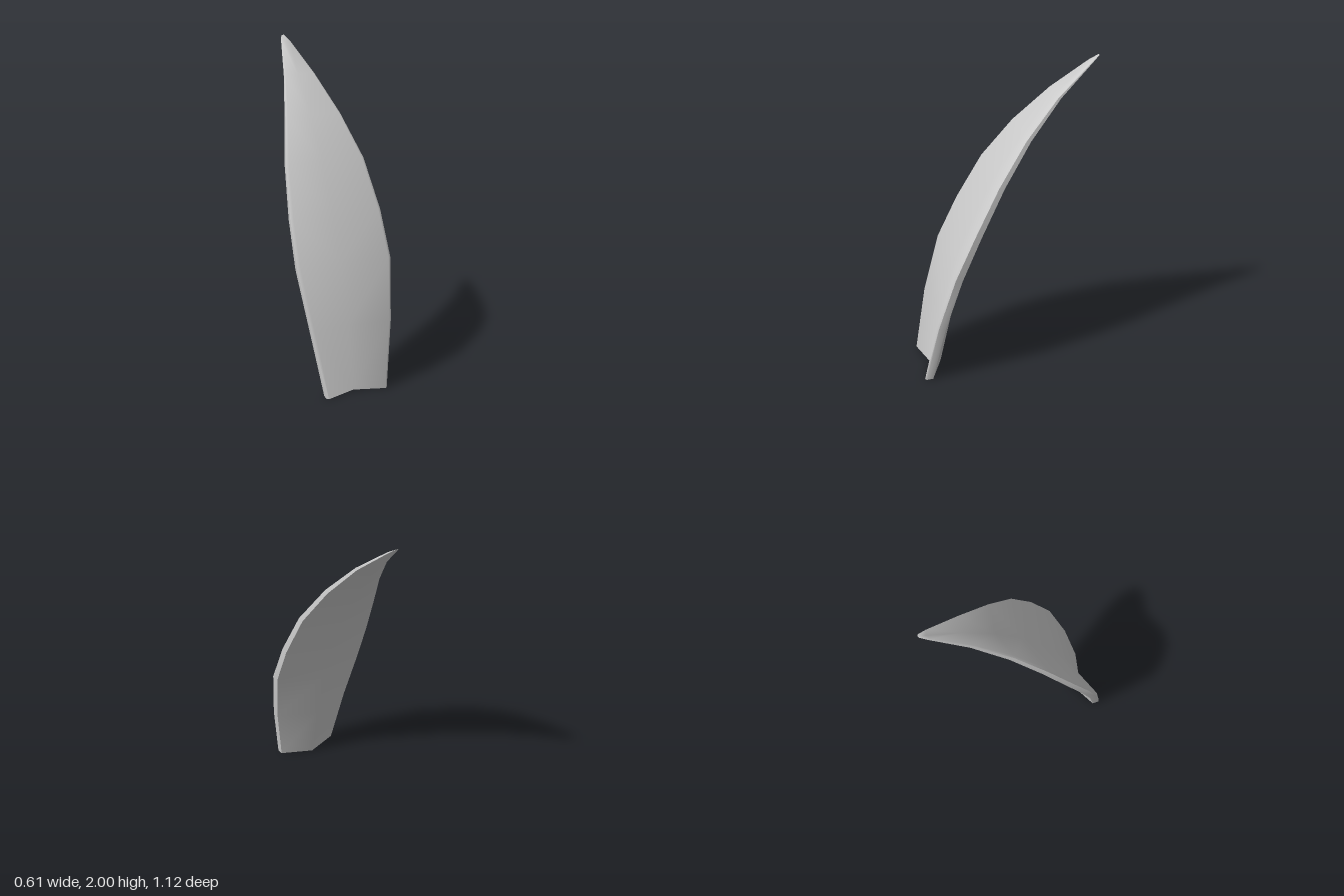
import * as THREE from 'three';
import { toCreasedNormals } from 'three/addons/utils/BufferGeometryUtils.js';

// Rows up the blade: height, half width, z of front rim, z of back ridge
const ROWS = [
  [0, 0.2, 0.56, 0.43],
  [0.4, 0.26, 0.485, 0.345],
  [0.76, 0.305, 0.38, 0.24],
  [1.03, 0.295, 0.255, 0.13],
  [1.32, 0.255, 0.1, -0.01],
  [1.57, 0.18, -0.08, -0.17],
  [1.79, 0.1, -0.29, -0.345],
  [1.965, 0.03, -0.505, -0.53],
  [2, 0.01, -0.558, -0.562],
];

// Half of the shallow V section: share of half width, share of depth behind the rim
const HALF = [[0, 0.46], [0.94, 0], [1, 0.08], [0.98, 0.39], [0, 1]];
const SECTION = [...HALF, ...HALF.slice(1, -1).reverse().map(([x, d]) => [-x, d])];

function bladeGeometry() {
  const positions = [];
  const index = [];
  const n = SECTION.length;
  ROWS.forEach(([y, w, zFront, zBack], r) => {
    const depth = zFront - zBack;
    const tilt = r === 0 || r === ROWS.length - 1 ? 0 : 0.2;
    // The chamfer and bevel keep the rim crisp, the back leans slightly down
    for (const [x, d] of SECTION) positions.push(x * w, y - tilt * d * depth, zFront - d * depth);
    if (r === 0) return;
    for (let i = 0; i < n; i++) {
      const j = (i + 1) % n;
      const a = (r - 1) * n + i;
      const b = (r - 1) * n + j;
      const c = r * n + j;
      const e = r * n + i;
      // Mirror the diagonals so both halves match
      if (i < n / 2) index.push(a, b, c, a, c, e);
      else index.push(a, b, e, b, c, e);
    }
  });
  // Close the tiny tip
  const top = (ROWS.length - 1) * n;
  for (let i = 1; i < n - 1; i++) index.push(top, top + i, top + i + 1);

  const geometry = new THREE.BufferGeometry();
  geometry.setAttribute('position', new THREE.Float32BufferAttribute(positions, 3));
  geometry.setIndex(index);
  return toCreasedNormals(geometry, 1.0);
}

export function createModel() {
  const model = new THREE.Group();
  model.name = 'curvedLeaf';
  // Hollow blade, open at the base
  const material = new THREE.MeshStandardMaterial({ color: 0xcccccc, side: THREE.DoubleSide });
  const blade = new THREE.Mesh(bladeGeometry(), material);
  blade.name = 'leafBlade';
  model.add(blade);
  return model;
}
